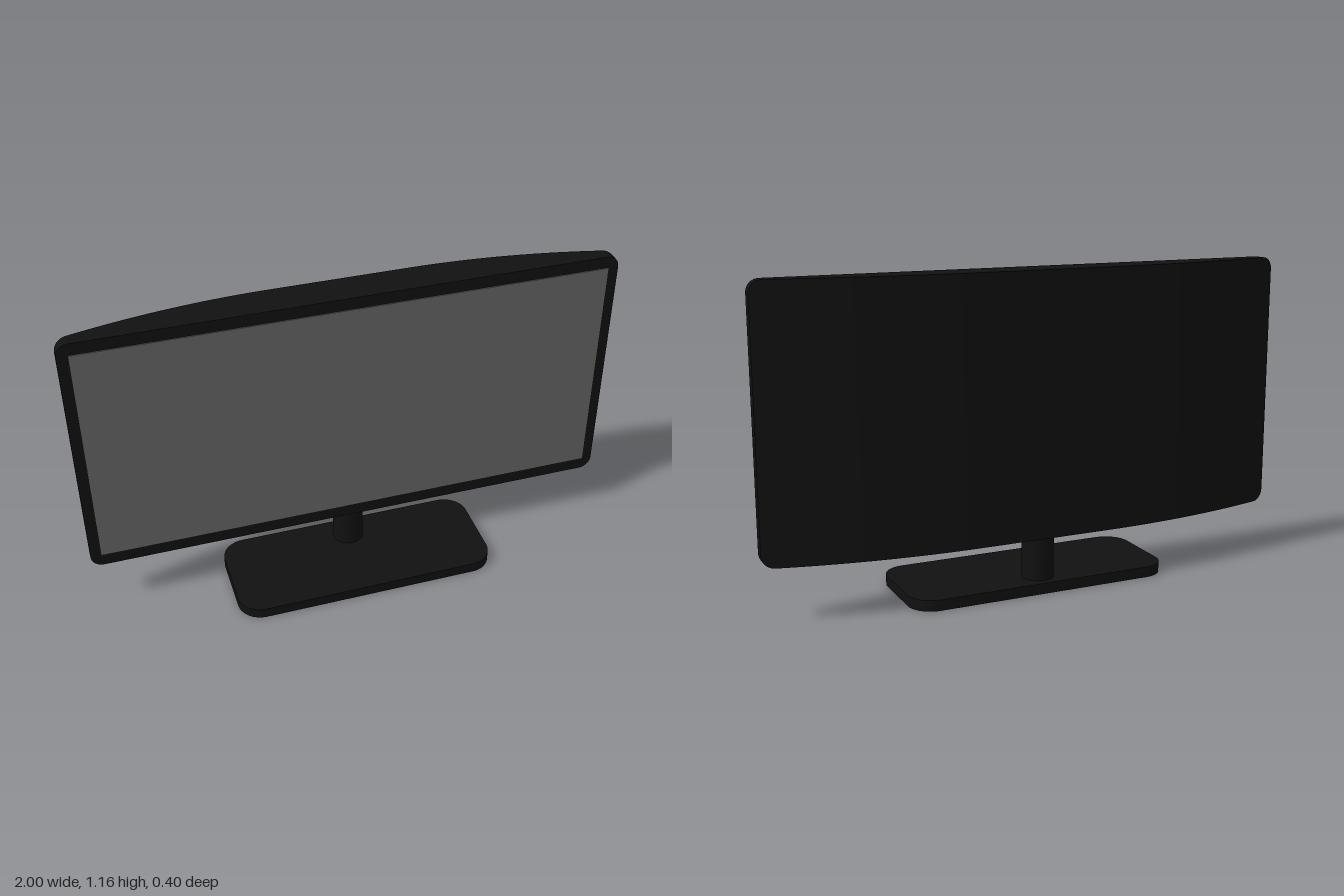
import * as THREE from 'three';
import { toCreasedNormals } from 'three/addons/utils/BufferGeometryUtils.js';

const black = new THREE.MeshStandardMaterial({ color: 0x111111 });
const grey = new THREE.MeshStandardMaterial({ color: 0x666666 });

function addPart(group, name, geometry, material, x, y, z) {
  const mesh = new THREE.Mesh(geometry, material);
  mesh.name = name;
  mesh.position.set(x, y, z);
  group.add(mesh);
}

// Housing lofted along x: flat front, bowed back, rounded corners
function housingGeometry(bottom, top, front, radius) {
  const flat = 0.25, backMiddle = -0.184, backEnd = -0.082;
  const half = [];
  for (let i = 0; i <= 14; i++) half.push({ x: flat + (1 - radius - flat) * i / 14, inset: 0 });
  for (let i = 1; i <= 8; i++) {
    const a = i / 8 * Math.PI / 2;
    half.push({ x: 1 - radius + radius * Math.sin(a), inset: radius * (1 - Math.cos(a)) });
  }
  const stations = [...half.map(s => ({ x: -s.x, inset: s.inset })).reverse(), ...half];

  const rings = stations.map(({ x, inset }) => {
    const u = Math.max(0, (Math.abs(x) - flat) / (1 - flat));
    const back = backMiddle + (backEnd - backMiddle) * u * u;
    const lo = bottom + inset, hi = top - inset;
    return [[x, lo, front], [x, lo, back], [x, hi, back], [x, hi, front]];
  });

  const positions = [];
  const quad = (a, b, c, d) => positions.push(...a, ...b, ...c, ...a, ...c, ...d);
  for (let i = 0; i < rings.length - 1; i++) {
    const r = rings[i], s = rings[i + 1];
    for (let j = 0; j < 4; j++) {
      const k = (j + 1) % 4;
      quad(r[j], r[k], s[k], s[j]);
    }
  }
  quad(...rings[rings.length - 1]);
  quad(...[...rings[0]].reverse());

  const geometry = new THREE.BufferGeometry();
  geometry.setAttribute('position', new THREE.Float32BufferAttribute(positions, 3));
  return toCreasedNormals(geometry, 0.5);
}

// Flat slab with rounded corners, lying on y = 0
function baseGeometry(w, d, h, r) {
  const x = w / 2, y = d / 2;
  const shape = new THREE.Shape();
  shape.absarc(x - r, y - r, r, 0, Math.PI / 2);
  shape.absarc(-x + r, y - r, r, Math.PI / 2, Math.PI);
  shape.absarc(-x + r, -y + r, r, Math.PI, Math.PI * 1.5);
  shape.absarc(x - r, -y + r, r, Math.PI * 1.5, Math.PI * 2);
  const geometry = new THREE.ExtrudeGeometry(shape, { depth: h, bevelEnabled: false, curveSegments: 8 });
  geometry.rotateX(-Math.PI / 2);
  return toCreasedNormals(geometry, 0.5);
}

export function createModel() {
  const model = new THREE.Group();
  model.name = 'monitor';

  addPart(model, 'housing', housingGeometry(0.2, 1.16, -0.044, 0.045), black, 0, 0, 0);
  addPart(model, 'screen', new THREE.BoxGeometry(1.92, 0.865, 0.02), grey, 0, 0.683, -0.05);
  addPart(model, 'neck', new THREE.CylinderGeometry(0.059, 0.059, 0.2, 32), black, 0, 0.12, -0.114);
  addPart(model, 'base', baseGeometry(1, 0.4, 0.04, 0.09), black, 0, 0, 0);

  return model;
}
